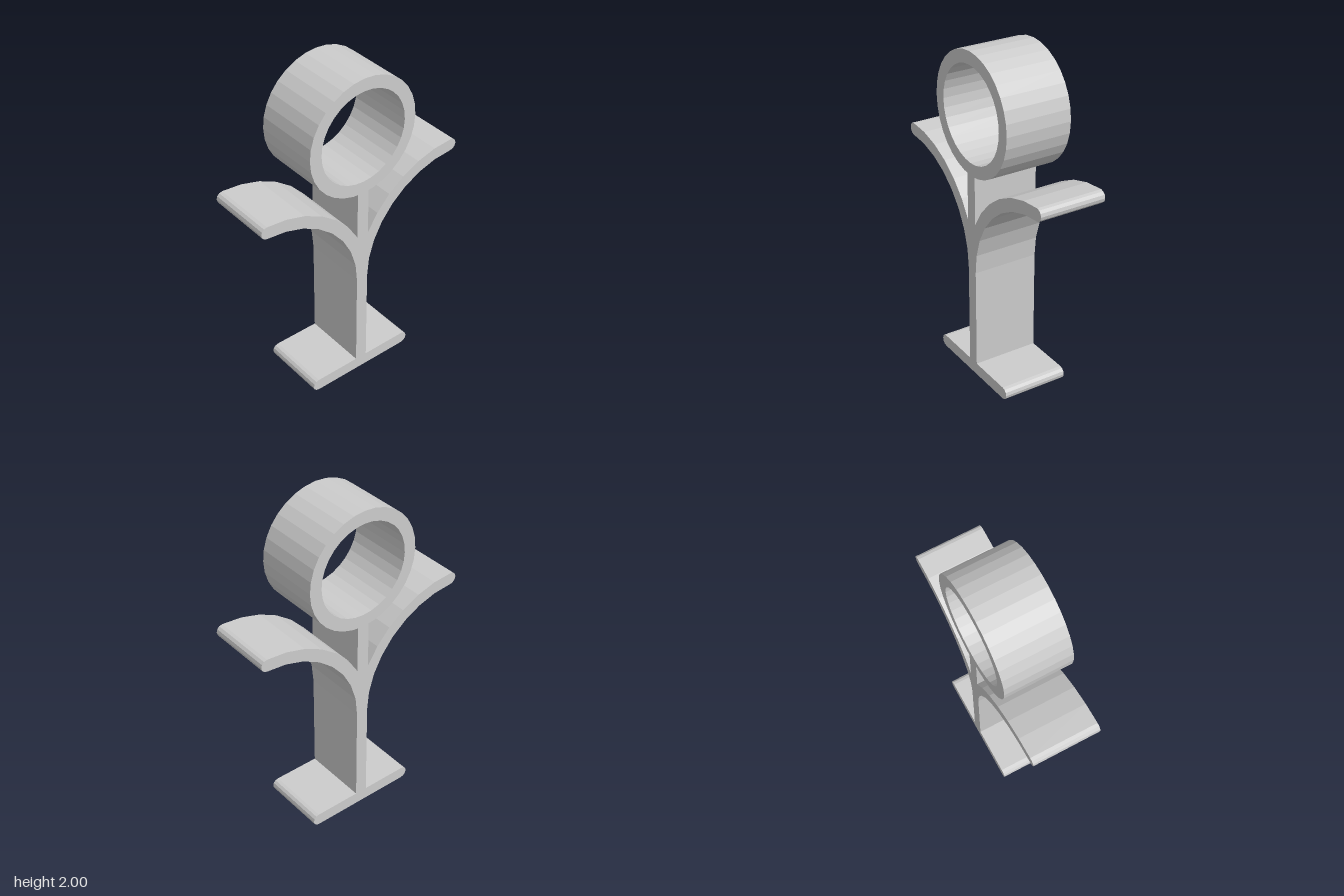
import * as THREE from 'three';

const DEPTH = 0.4;
const HALF = 0.0375; // half the wall thickness

// points along an arc, angles in radians
function arc(cx, cy, r, a0, a1, n) {
  return Array.from({ length: n + 1 }, (_, i) => {
    const a = a0 + (a1 - a0) * i / n;
    return new THREE.Vector2(cx + r * Math.cos(a), cy + r * Math.sin(a));
  });
}

export function createModel() {
  const model = new THREE.Group();
  model.name = 'ringStand';
  const grey = new THREE.MeshStandardMaterial({ color: 0xcccccc });
  grey.name = 'lightGrey';

  // faceted extrusion centred on z = 0
  function add(name, shape) {
    const geometry = new THREE.ExtrudeGeometry(shape, { depth: DEPTH, bevelEnabled: false, curveSegments: 16 });
    geometry.translate(0, 0, -DEPTH / 2);
    const mesh = new THREE.Mesh(geometry, grey);
    mesh.name = name;
    model.add(mesh);
  }

  const PI = Math.PI;

  // base plate with rounded ends
  add('base', new THREE.Shape([
    ...arc(0.32, HALF, HALF, -PI / 2, PI / 2, 6),
    ...arc(-0.32, HALF, HALF, PI / 2, PI * 1.5, 6),
  ]));

  // upright stem, reaching into the ring wall
  add('stem', new THREE.Shape([
    new THREE.Vector2(-HALF, 2 * HALF), new THREE.Vector2(HALF, 2 * HALF),
    new THREE.Vector2(HALF, 1.29), new THREE.Vector2(-HALF, 1.29),
  ]));

  // curved arms that sweep out of the stem to rounded tips
  const cx = 0.638, cy = 0.69, inner = cx - HALF, outer = inner + 2 * HALF;
  const crotch = PI - Math.acos(inner / outer);
  const armPoints = [
    ...arc(cx, cy, inner, PI, PI / 2, 8),
    ...arc(cx, cy + inner + HALF, HALF, -PI / 2, PI / 2, 6).slice(1),
    ...arc(cx, cy, outer, PI / 2, crotch, 6).slice(1),
  ];
  add('leftArm', new THREE.Shape(armPoints));
  add('rightArm', new THREE.Shape(armPoints.map(p => new THREE.Vector2(-p.x, p.y)).reverse()));

  // open ring on top
  const ring = new THREE.Shape(arc(0, 1.643, 0.357, 0, 2 * PI, 32).slice(0, -1));
  ring.holes.push(new THREE.Path(arc(0, 1.643, 0.282, 0, 2 * PI, 32).slice(0, -1)));
  add('ring', ring);

  return model;
}
